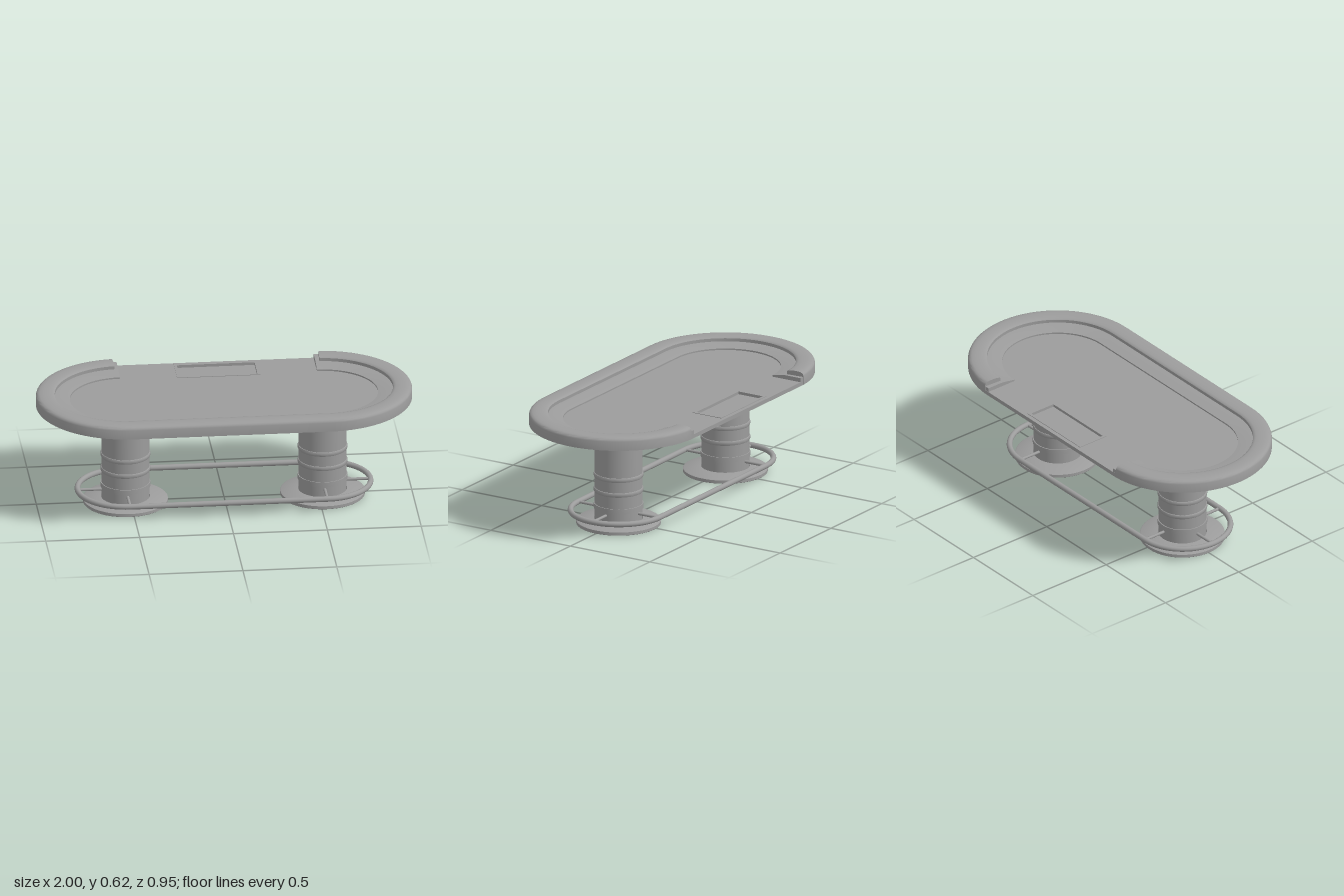
import * as THREE from 'three';
import { toCreasedNormals } from 'three/addons/utils/BufferGeometryUtils.js';

const CX = 0.525; // centre of each rounded end, and of each pedestal
const R = 0.475; // half depth of the table top
const grey = new THREE.MeshStandardMaterial({ color: 0x9c9c9c });
const greyDouble = new THREE.MeshStandardMaterial({ color: 0x9c9c9c, side: THREE.DoubleSide });

function add(parent, name, geometry, material = grey) {
  const mesh = new THREE.Mesh(geometry, material);
  mesh.name = name;
  parent.add(mesh);
  return mesh;
}

function lathe(points, segments = 64) {
  const profile = points.map(([r, y]) => new THREE.Vector2(r, y));
  return toCreasedNormals(new THREE.LatheGeometry(profile, segments), 0.6);
}

// Stadium outline lying in the shape plane
function stadium(r) {
  const s = new THREE.Shape();
  s.absarc(CX, 0, r, -Math.PI / 2, Math.PI / 2, false);
  s.absarc(-CX, 0, r, Math.PI / 2, Math.PI * 1.5, false);
  s.closePath();
  return s;
}

// Rectangle for the tray, near the open side
function trayRect(target, w, h) {
  const y = 0.362;
  target.moveTo(-w, y - h);
  target.lineTo(w, y - h);
  target.lineTo(w, y + h);
  target.lineTo(-w, y + h);
  target.closePath();
  return target;
}

// Horizontal plate with its outline extruded from y0 up to y1
function plate(shape, y0, y1) {
  const g = new THREE.ExtrudeGeometry(shape, { depth: y1 - y0, bevelEnabled: false, curveSegments: 48 });
  return toCreasedNormals(g.rotateX(-Math.PI / 2).translate(0, y0, 0), 0.6);
}

// Sweeps a closed profile of [inset, y] points around both ends and the front,
// leaving the back open; gap is the angle trimmed off each end
function sweepAround(profile, gap) {
  const steps = 40, stations = [];
  for (let i = 0; i <= steps; i++) {
    const a = -Math.PI / 2 + gap + (Math.PI - gap) * i / steps;
    stations.push([CX, a]);
  }
  for (let i = 0; i <= steps; i++) {
    stations.push([-CX, Math.PI / 2 + (Math.PI - gap) * i / steps]);
  }
  const n = profile.length, pos = [], index = [];
  for (const [cx, a] of stations) {
    for (const [d, y] of profile) pos.push(cx + Math.cos(a) * (R - d), y, Math.sin(a) * (R - d));
  }
  for (let i = 0; i < stations.length - 1; i++) {
    for (let j = 0; j < n; j++) {
      const k = (j + 1) % n, a = i * n, b = a + n;
      index.push(a + j, a + k, b + j, b + j, a + k, b + k);
    }
  }
  // End caps
  const contour = profile.map(([d, y]) => new THREE.Vector2(-d, y));
  const last = (stations.length - 1) * n;
  for (const [a, b, c] of THREE.ShapeUtils.triangulateShape(contour, [])) {
    index.push(a, c, b, last + a, last + b, last + c);
  }
  const g = new THREE.BufferGeometry();
  g.setAttribute('position', new THREE.Float32BufferAttribute(pos, 3));
  g.setIndex(index);
  return toCreasedNormals(g, 0.6);
}

function createTop() {
  const top = new THREE.Group();
  top.name = 'tableTop';

  // Thin slab; the upper layer is cut out for the tray
  add(top, 'slabBase', plate(stadium(R - 0.001), 0.555, 0.565));
  const surface = stadium(R - 0.001);
  surface.holes.push(trayRect(new THREE.Path(), 0.21, 0.078));
  add(top, 'playingSurface', plate(surface, 0.565, 0.577));

  // Thin frame around the sunken tray
  const frame = trayRect(new THREE.Shape(), 0.222, 0.09);
  frame.holes.push(trayRect(new THREE.Path(), 0.207, 0.075));
  add(top, 'trayFrame', plate(frame, 0.564, 0.58));

  // Padded arm rail, open at the back
  add(top, 'armRail', sweepAround([
    [0, 0.5555], [0, 0.605], [0.003, 0.613], [0.009, 0.619], [0.02, 0.623], [0.04, 0.625],
    [0.065, 0.625], [0.085, 0.623], [0.096, 0.62], [0.1, 0.616], [0.1, 0.5555],
  ], 0.055));

  // Ledge inside the rail, sloping down to the playing surface
  add(top, 'innerLedge', sweepAround([
    [0.002, 0.557], [0.002, 0.599], [0.1, 0.599], [0.18, 0.585], [0.18, 0.557],
  ], 0));
  return top;
}

function createPedestal(side) {
  const p = new THREE.Group();
  p.name = side > 0 ? 'leftPedestal' : 'rightPedestal';
  p.position.x = side * CX;

  // Hollow column on a sloped foot flange
  add(p, 'footFlange', lathe([[0.13, 0], [0.223, 0], [0.225, 0.002], [0.225, 0.018], [0.22, 0.021], [0.13, 0.031], [0.13, 0]]));
  add(p, 'column', lathe([[0.127, 0.02], [0.127, 0.547]]), greyDouble);
  add(p, 'mountingPlate', new THREE.CylinderGeometry(0.205, 0.205, 0.01, 64)).position.y = 0.55;

  // Decorative bands
  for (const y of [0.192, 0.274]) {
    add(p, 'band', lathe([
      [0.1272, y - 0.012], [0.13, y - 0.011], [0.132, y - 0.007], [0.132, y + 0.007],
      [0.13, y + 0.011], [0.1272, y + 0.012],
    ]));
  }
  add(p, 'collar', lathe([[0.1272, 0.088], [0.132, 0.088], [0.132, 0.115], [0.1272, 0.115]]));

  // Spokes holding the foot rail: front, back and outer end
  for (const angle of [0, Math.PI / 2 * side, Math.PI]) {
    const rod = new THREE.CylinderGeometry(0.008, 0.008, 0.14, 16);
    rod.rotateX(Math.PI / 2).translate(0, 0.073, 0.188).rotateY(angle);
    add(p, 'spoke', rod);
  }
  return p;
}

function createFootRail() {
  const r = 0.255;
  const path = new THREE.CurvePath();
  for (const s of [1, -1]) {
    const pts = [];
    for (let i = 0; i <= 32; i++) {
      const a = -Math.PI / 2 + Math.PI * i / 32;
      pts.push(new THREE.Vector3(s * (CX + Math.cos(a) * r), 0, s * Math.sin(a) * r));
    }
    path.add(new THREE.CatmullRomCurve3(pts));
    path.add(new THREE.LineCurve3(new THREE.Vector3(s * CX, 0, s * r), new THREE.Vector3(-s * CX, 0, s * r)));
  }
  return new THREE.TubeGeometry(path, 160, 0.015, 16, true);
}

export function createModel() {
  const model = new THREE.Group();
  model.name = 'cardTable';
  model.add(createTop());
  for (const side of [1, -1]) model.add(createPedestal(side));
  add(model, 'footRail', createFootRail()).position.y = 0.073;
  return model;
}
